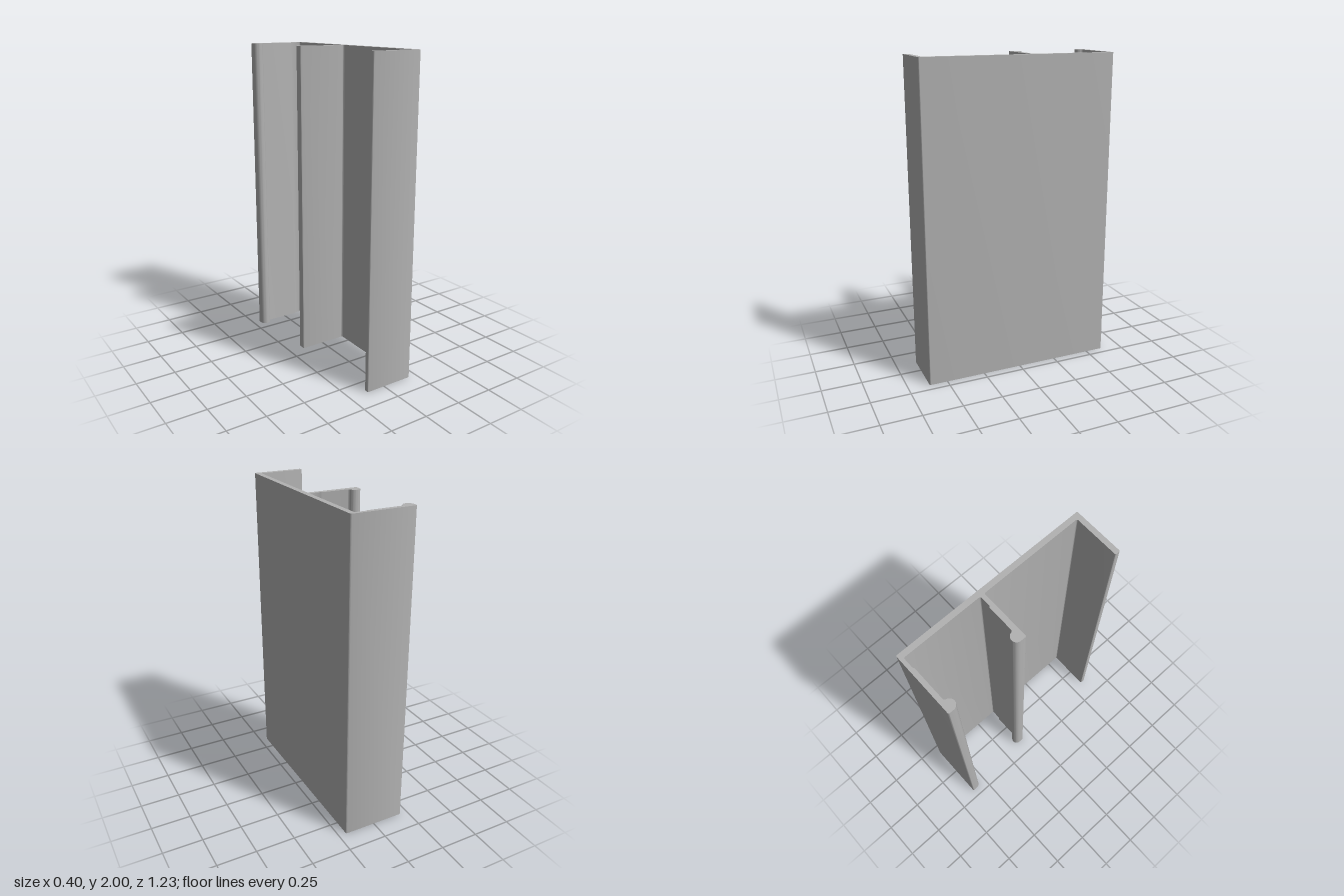
import * as THREE from 'three';
import { toCreasedNormals } from 'three/addons/utils/BufferGeometryUtils.js';

const HEIGHT = 2;

// Arc of points in plan (x, z), angles in degrees from +x towards +z.
function arc(cx, cz, r, from, to) {
  const n = Math.max(3, Math.ceil(Math.abs(to - from) / 12));
  return Array.from({ length: n + 1 }, (_, i) => {
    const a = THREE.MathUtils.degToRad(from + ((to - from) * i) / n);
    return [cx + r * Math.cos(a), cz + r * Math.sin(a)];
  });
}

export function createModel() {
  const group = new THREE.Group();
  group.name = 'channelProfile';
  const aluminium = new THREE.MeshStandardMaterial({ color: 0xb2b2b2 });
  aluminium.name = 'plain grey metal';

  const edge = 0.008, inner = 0.01, bulb = 0.033, fillet = 0.013;
  const plan = [
    // back flange with its bulb lip and shallow step
    ...arc(0.192, -0.608, edge, 0, -90),
    ...arc(-0.193, -0.608, edge, -90, -180),
    ...arc(-0.168, -0.583, bulb, 180, 10),
    ...arc(-0.1227, -0.575, fillet, 190, 270),
    [0.088, -0.588], [0.098, -0.594],
    ...arc(0.156, -0.584, inner, -90, 0),
    // middle flange, bulb facing the back
    ...arc(0.156, -0.106, inner, 0, 90),
    [0.098, -0.096], [0.088, -0.103],
    ...arc(-0.0737, -0.116, fillet, 90, 170),
    ...arc(-0.119, -0.107, bulb, -10, -180),
    ...arc(-0.144, -0.078, edge, 180, 90),
    ...arc(0.156, -0.06, inner, -90, 0),
    // plain front flange
    ...arc(0.156, 0.573, inner, 0, 90),
    ...arc(-0.115, 0.591, edge, -90, -180),
    ...arc(-0.115, 0.608, edge, 180, 90),
    ...arc(0.192, 0.608, edge, 90, 0),
  ];

  // Extrude the plan upwards
  const shape = new THREE.Shape(plan.map(([x, z]) => new THREE.Vector2(x, -z)));
  const extruded = new THREE.ExtrudeGeometry(shape, { depth: HEIGHT, bevelEnabled: false });
  extruded.rotateX(-Math.PI / 2);
  const mesh = new THREE.Mesh(toCreasedNormals(extruded, Math.PI / 5), aluminium);
  mesh.name = 'extrudedChannel';
  group.add(mesh);
  return group;
}
